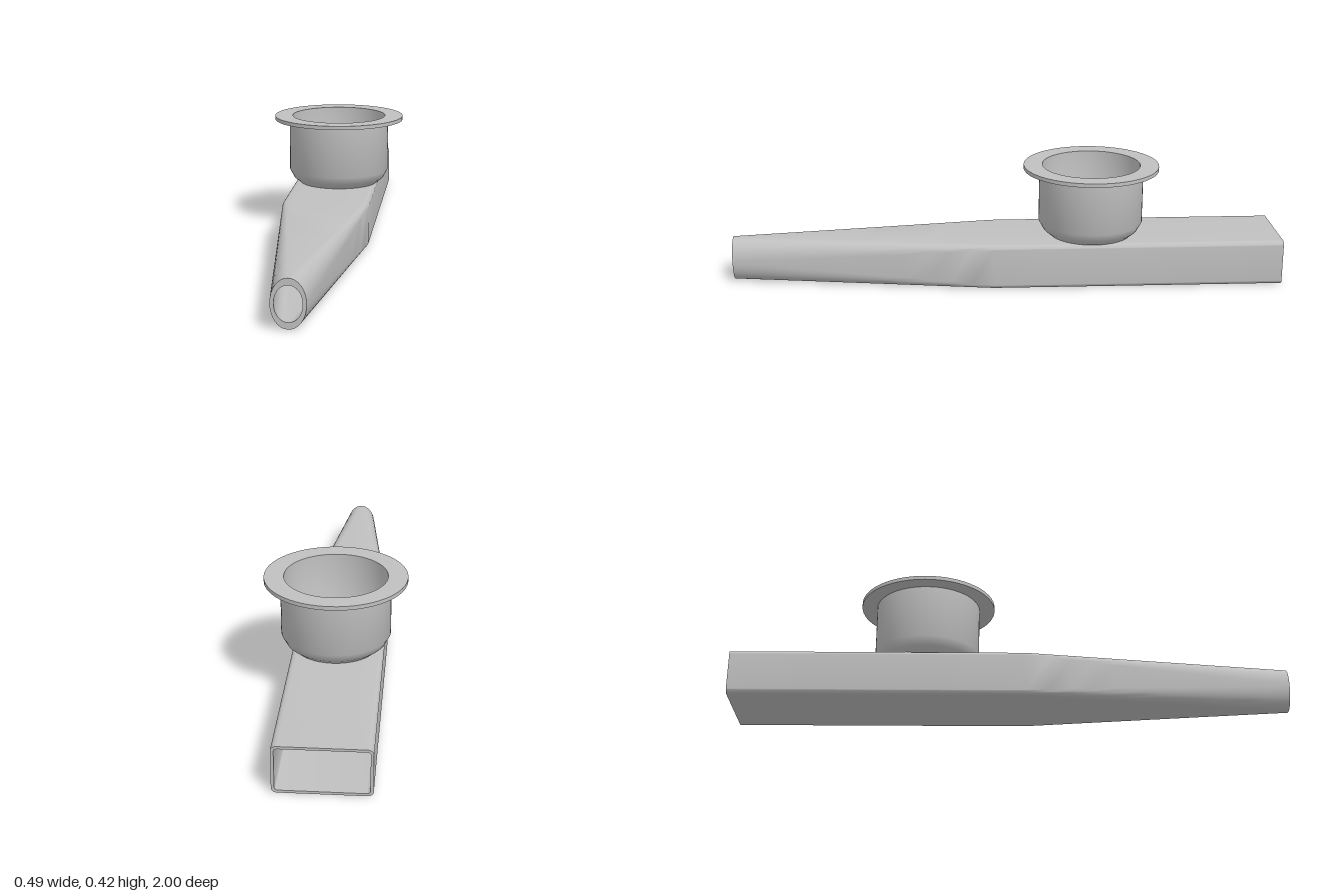
import * as THREE from 'three';
import { toCreasedNormals } from 'three/addons/utils/BufferGeometryUtils.js';

const ARC = 8; // segments per rounded corner

// Rounded-rectangle ring; [cx, cy] are corner centres, [rx, ry] corner radii
function ring([cx, cy, rx, ry], z) {
  const points = [];
  for (let q = 0; q < 4; q++) {
    const sx = q === 0 || q === 3 ? 1 : -1;
    const sy = q < 2 ? 1 : -1;
    for (let k = 0; k <= ARC; k++) {
      const a = (q + k / ARC) * Math.PI / 2;
      points.push([cx * sx + rx * Math.cos(a), cy * sy + ry * Math.sin(a), z]);
    }
  }
  return points;
}

// Rings for one wall: straight box section, then a taper to an oval mouth
function wall(box, oval) {
  const rings = [];
  for (let i = 0; i <= 4; i++) rings.push(ring(box, -1 + 1.05 * i / 4));
  for (let i = 1; i <= 12; i++) {
    const t = i / 12;
    rings.push(ring(box.map((v, n) => v + (oval[n] - v) * t), 0.05 + 0.95 * t));
  }
  return rings;
}

// Join successive rings into a closed hollow shell
function shell(rings) {
  const n = rings[0].length, m = rings.length, index = [];
  for (let i = 0; i < m; i++) {
    for (let j = 0; j < n; j++) {
      const i2 = (i + 1) % m, j2 = (j + 1) % n;
      const a = i * n + j, b = i * n + j2, c = i2 * n + j, d = i2 * n + j2;
      index.push(a, b, c, b, d, c);
    }
  }
  const geometry = new THREE.BufferGeometry();
  geometry.setAttribute('position', new THREE.Float32BufferAttribute(rings.flat(2), 3));
  geometry.setIndex(index);
  return toCreasedNormals(geometry, 0.6);
}

export function createModel() {
  const group = new THREE.Group();
  const metal = new THREE.MeshStandardMaterial({ color: 0xc0c0c0 });
  metal.name = 'grey metal';

  // Hollow body, open at the back and at the oval mouthpiece
  const outer = wall([0.138, 0.0675, 0.02, 0.015], [0.001, 0.001, 0.055, 0.079]);
  const inner = wall([0.136, 0.0645, 0.012, 0.009], [0.001, 0.001, 0.043, 0.057]);
  const body = new THREE.Mesh(shell([...outer, ...inner.reverse()]), metal);
  body.name = 'body';
  body.position.set(-0.01, 0.0825, 0);
  group.add(body);

  // Flanged cup: outside from the base up, over the rim, then down the inside
  const profile = [
    [0, 0.163], [0.15, 0.165], [0.174, 0.185], [0.19, 0.215], [0.19, 0.41],
    [0.246, 0.41], [0.246, 0.424], [0.178, 0.424], [0.178, 0.218],
    [0.163, 0.192], [0.145, 0.176], [0, 0.176],
  ].map(([r, y]) => new THREE.Vector2(r, y));
  const cup = new THREE.Mesh(
    toCreasedNormals(new THREE.LatheGeometry(profile, 64), 0.6), metal);
  cup.name = 'cup';
  cup.position.z = -0.31;
  group.add(cup);

  return group;
}
